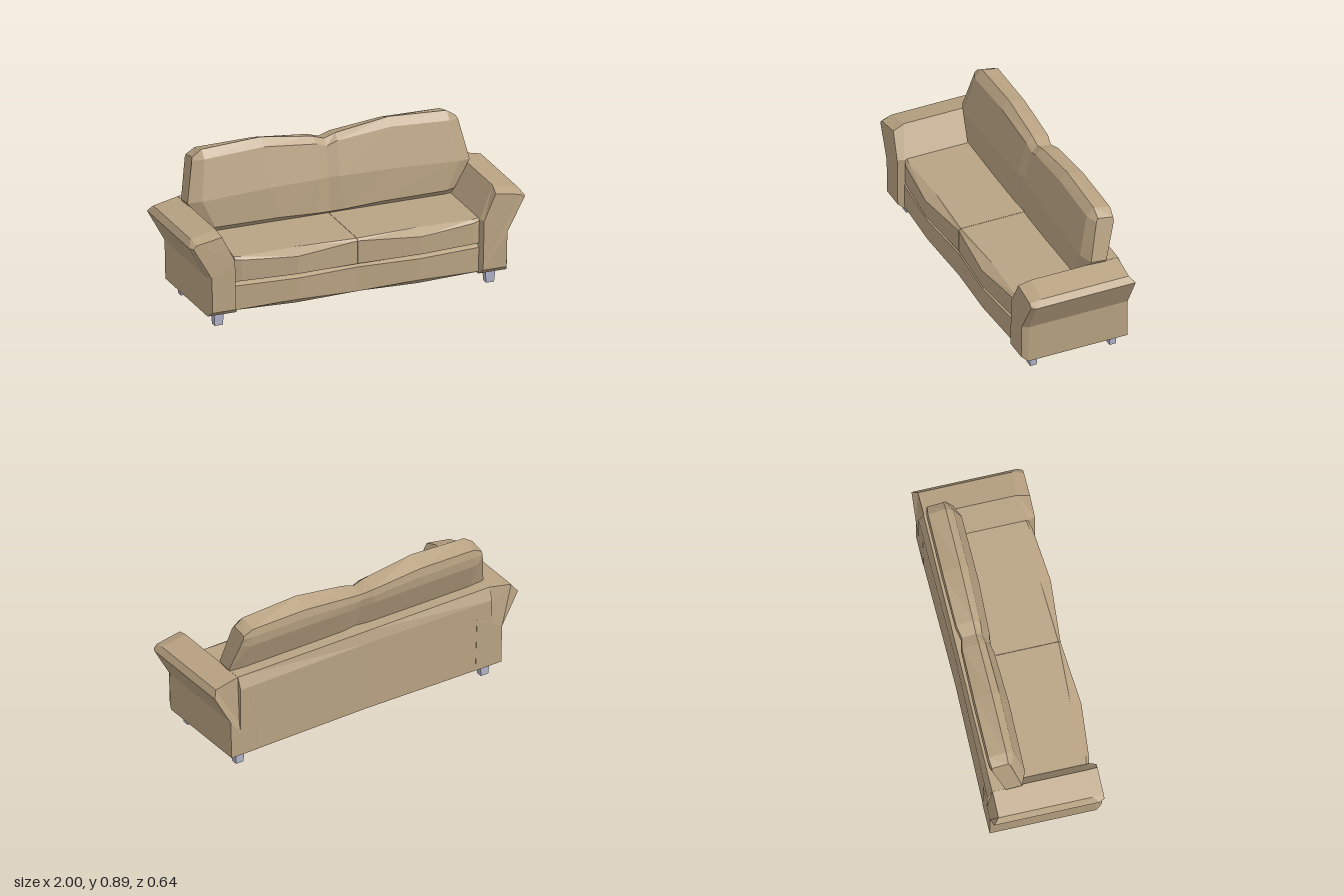
import * as THREE from 'three';

// Closed faceted solid lofted through rings of [x, y, z] points, capped at both ends.
function loft(rings) {
  const tris = [];
  const n = rings[0].length;
  for (let i = 0; i < rings.length - 1; i++) {
    for (let j = 0; j < n; j++) {
      const k = (j + 1) % n;
      const a = rings[i][j], b = rings[i][k], c = rings[i + 1][k], d = rings[i + 1][j];
      tris.push([a, b, c], [a, c, d]);
    }
  }
  const cap = (ring, flip) => {
    // project on the plane the ring faces: constant x or constant z
    const spread = (q) => Math.max(...ring.map((p) => p[q])) - Math.min(...ring.map((p) => p[q]));
    const u = spread(0) > spread(2) ? 0 : 2;
    const flat = ring.map((p) => new THREE.Vector2(p[u], p[1]));
    const ccw = !THREE.ShapeUtils.isClockWise(flat);
    for (const [a, b, c] of THREE.ShapeUtils.triangulateShape(flat, [])) {
      // keep the ring's own direction
      const area = (flat[b].x - flat[a].x) * (flat[c].y - flat[a].y) - (flat[b].y - flat[a].y) * (flat[c].x - flat[a].x);
      const same = (area > 0) === ccw;
      const t = [ring[a], ring[b], ring[c]];
      if (same === flip) t.reverse();
      tris.push(t);
    }
  };
  cap(rings[0], true);
  cap(rings[rings.length - 1], false);
  // turn the solid outward if its signed volume is negative
  let volume = 0;
  const v = tris.map((t) => t.map((p) => new THREE.Vector3(...p)));
  for (const [a, b, c] of v) volume += a.dot(b.clone().cross(c));
  if (volume < 0) v.forEach((t) => t.reverse());
  const g = new THREE.BufferGeometry().setFromPoints(v.flat());
  g.computeVertexNormals();
  return g;
}

const mirrorRing = (ring) => ring.map(([x, y, z]) => [-x, y, z]);
// Full-width stations from centre-to-left ones
const symmetric = (half) => [...half.slice(1).reverse().map(mirrorRing), ...half];

export function createModel() {
  const model = new THREE.Group();
  model.name = 'sofa';
  const fabric = new THREE.MeshStandardMaterial({ color: 0xb8a282 });
  fabric.name = 'tan fabric';
  const metal = new THREE.MeshStandardMaterial({ color: 0xb2b4cb });
  metal.name = 'pale grey legs';

  const add = (name, geometry, material = fabric) => {
    const mesh = new THREE.Mesh(geometry, material);
    mesh.name = name;
    model.add(mesh);
    return mesh;
  };

  // Flared arms: outline as x, y, back z, front z, then the inset front face
  const outline = [
    [0.72, 0.08, -0.32, 0.28], [0.89, 0.08, -0.32, 0.28], [0.895, 0.31, -0.32, 0.28],
    [1.0, 0.5, -0.32, 0.28], [0.975, 0.537, -0.29, 0.24], [0.825, 0.57, -0.29, 0.235],
    [0.73, 0.4, -0.32, 0.28],
  ];
  const armFront = [
    [0.735, 0.11, 0.315], [0.875, 0.11, 0.315], [0.88, 0.315, 0.315],
    [0.985, 0.5, 0.305], [0.965, 0.52, 0.305], [0.815, 0.547, 0.305], [0.742, 0.4, 0.315],
  ];
  const armRings = [
    outline.map(([x, y, z]) => [x, y, z]),
    outline.map(([x, y, , z]) => [x, y, z]),
    armFront,
  ];
  add('leftArm', loft(armRings));
  add('rightArm', loft(armRings.map(mirrorRing)));

  // Back frame, slightly bowed in at the middle
  const backRing = (x, z) => [
    [x, 0.08, z], [x, 0.5, z], [x, 0.57, -0.292], [x, 0.57, -0.17], [x, 0.39, -0.14], [x, 0.08, -0.14],
  ];
  add('backFrame', loft(symmetric([backRing(0, -0.307), backRing(0.83, -0.32)])));

  // Base with a gently bulging front
  const baseRing = (x, z, lip) => [
    [x, 0.08, -0.3], [x, 0.08, z - 0.03], [x, lip, z], [x, 0.235, z], [x, 0.245, z - 0.02], [x, 0.245, -0.3],
  ];
  add('base', loft(symmetric([
    baseRing(0, 0.285, 0.092), baseRing(0.36, 0.308, 0.11), baseRing(0.73, 0.28, 0.092),
  ])));

  // Two seat cushions
  const seatRing = (x, topZ, z, lip, low) => [
    [x, 0.25, -0.15], [x, 0.25, z - 0.04], [x, low, z], [x, lip, z], [x, 0.402, topZ], [x, 0.402, -0.15],
  ];
  const seat = [
    seatRing(0.001, 0.275, 0.287, 0.39, 0.255), seatRing(0.37, 0.258, 0.318, 0.368, 0.265),
    seatRing(0.69, 0.27, 0.287, 0.385, 0.262), seatRing(0.73, 0.262, 0.275, 0.39, 0.258),
  ];
  add('leftSeatCushion', loft(seat));
  add('rightSeatCushion', loft(seat.map(mirrorRing)));

  // Leaning backrest with a dip in the middle and rounded ends
  const backrest = [
    [ // centre crease
      [0, 0.4, -0.13], [0, 0.42, -0.1], [0, 0.62, -0.112], [0, 0.785, -0.155], [0, 0.82, -0.19],
      [0, 0.805, -0.27], [0, 0.77, -0.275], [0, 0.72, -0.262], [0, 0.55, -0.2], [0, 0.4, -0.16],
    ],
    [
      [0.08, 0.4, -0.13], [0.08, 0.425, -0.09], [0.06, 0.62, -0.1], [0.06, 0.81, -0.15], [0.07, 0.843, -0.19],
      [0.07, 0.82, -0.285], [0.07, 0.78, -0.29], [0.08, 0.73, -0.282], [0.08, 0.55, -0.212], [0.08, 0.4, -0.165],
    ],
    [
      [0.3, 0.4, -0.13], [0.3, 0.44, -0.08], [0.36, 0.62, -0.088], [0.38, 0.845, -0.145], [0.38, 0.888, -0.19],
      [0.38, 0.85, -0.29], [0.38, 0.8, -0.297], [0.38, 0.74, -0.29], [0.38, 0.55, -0.215], [0.38, 0.4, -0.165],
    ],
    [
      [0.69, 0.4, -0.13], [0.69, 0.44, -0.085], [0.765, 0.6, -0.092], [0.73, 0.825, -0.147], [0.73, 0.87, -0.19],
      [0.73, 0.845, -0.29], [0.735, 0.8, -0.297], [0.75, 0.74, -0.29], [0.75, 0.55, -0.215], [0.7, 0.4, -0.165],
    ],
    [ // end face
      [0.73, 0.4, -0.135], [0.745, 0.44, -0.11], [0.84, 0.59, -0.125], [0.793, 0.815, -0.178], [0.785, 0.832, -0.19],
      [0.785, 0.815, -0.283], [0.79, 0.795, -0.285], [0.8, 0.75, -0.272], [0.84, 0.58, -0.217], [0.73, 0.4, -0.16],
    ],
  ];
  add('backrest', loft(symmetric(backrest)));

  // Tapered square legs
  const legRing = (x, y, z, w, d) => [
    [x - w, y, z - d], [x + w, y, z - d], [x + w, y, z + d], [x - w, y, z + d],
  ];
  for (const [side, x] of [['left', 0.808], ['right', -0.808]]) {
    for (const [end, z] of [['Front', 0.221], ['Back', -0.258]]) {
      const leg = new THREE.CylinderGeometry(Math.SQRT1_2, Math.SQRT1_2 * 0.8, 0.082, 4, 1).rotateY(Math.PI / 4).toNonIndexed();
      leg.scale(0.06, 1, 0.048);
      leg.computeVertexNormals();
      add(side + end + 'Leg', leg, metal).position.set(x, 0.041, z);
    }
  }
  return model;
}
